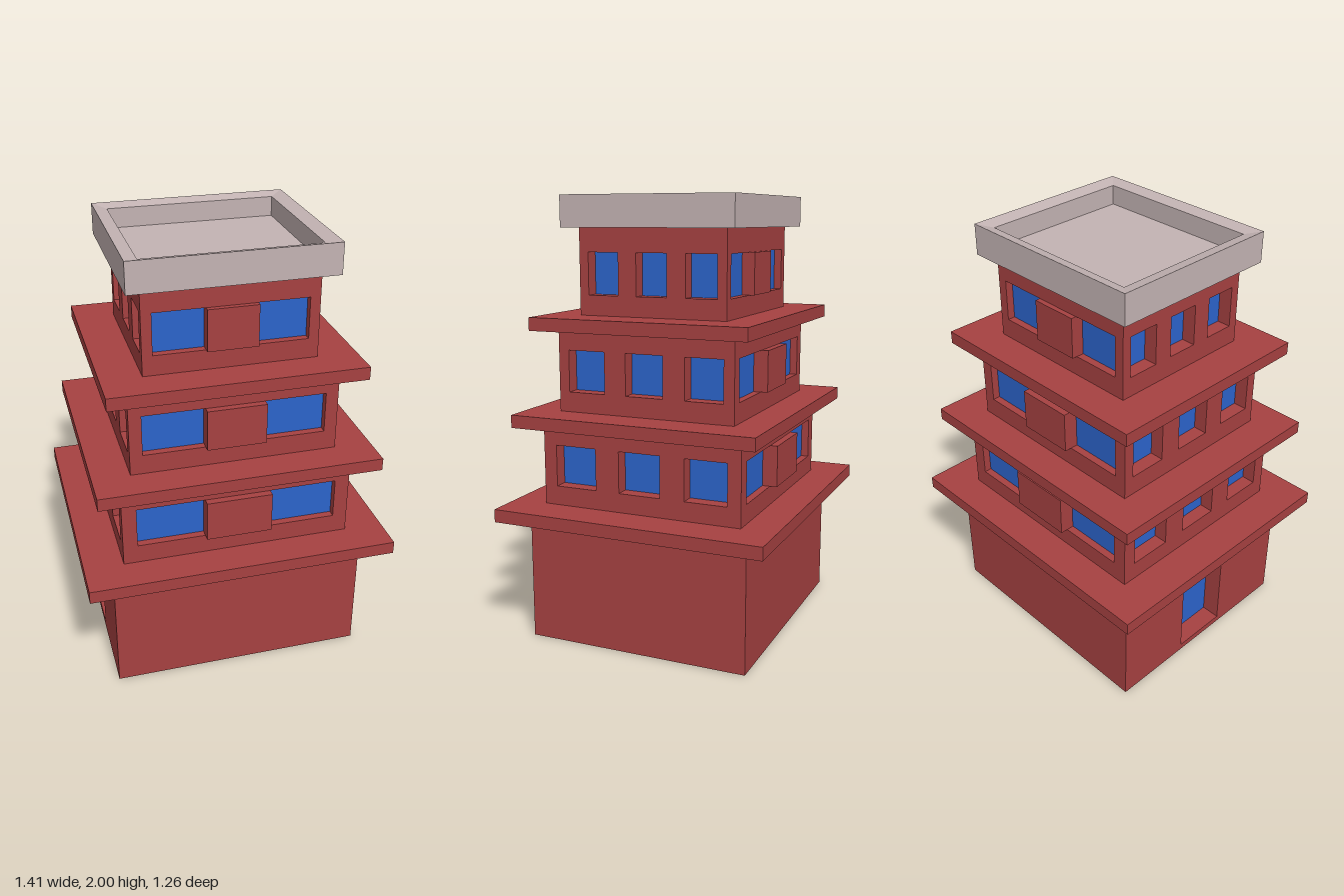
import * as THREE from 'three';

const red = new THREE.MeshStandardMaterial({ color: 0xa64141, side: THREE.DoubleSide });
red.name = 'red wall';
const blue = new THREE.MeshStandardMaterial({ color: 0x2c64cb, side: THREE.DoubleSide });
blue.name = 'blue glass';
const grey = new THREE.MeshStandardMaterial({ color: 0xc3b3b3, side: THREE.DoubleSide });
grey.name = 'pale roof';

function add(parent, name, geometry, material) {
  const mesh = new THREE.Mesh(geometry, material);
  mesh.name = name;
  parent.add(mesh);
  return mesh;
}

// Flat-sided surface through a list of four-cornered rings
function loft(rings) {
  const p = [];
  for (let r = 0; r < rings.length - 1; r++) {
    for (let i = 0; i < 4; i++) {
      const j = (i + 1) % 4, a = rings[r], b = rings[r + 1];
      p.push(...a[i], ...a[j], ...b[j], ...a[i], ...b[j], ...b[i]);
    }
  }
  const g = new THREE.BufferGeometry();
  g.setAttribute('position', new THREE.Float32BufferAttribute(p, 3));
  g.computeVertexNormals();
  return g;
}

const level = (hx, hz, y) => [[hx, y, hz], [hx, y, -hz], [-hx, y, -hz], [-hx, y, hz]];
const frame = (o, z) => [[o.x0, o.y0, z], [o.x1, o.y0, z], [o.x1, o.y1, z], [o.x0, o.y1, z]];

// One wall with recessed openings, turned to face its side
function wall(parent, name, half, dist, y0, y1, angle, openings, depth) {
  const side = new THREE.Group();
  side.name = name;
  side.rotation.y = angle;
  parent.add(side);
  const shape = new THREE.Shape([[-half, y0], [half, y0], [half, y1], [-half, y1]].map(c => new THREE.Vector2(...c)));
  for (const o of openings) {
    shape.holes.push(new THREE.Path(frame(o, 0).reverse().map(c => new THREE.Vector2(c[0], c[1]))));
    add(side, 'reveal', loft([frame(o, dist), frame(o, dist - depth)]), red);
    add(side, 'pane', new THREE.PlaneGeometry(o.x1 - o.x0, o.y1 - o.y0), blue)
      .position.set((o.x0 + o.x1) / 2, (o.y0 + o.y1) / 2, dist - depth);
  }
  add(side, 'wallFace', new THREE.ShapeGeometry(shape), red).position.z = dist;
  return side;
}

// hx, hz: wall half sizes; f: front window inner and outer x;
// s: half width of the middle side window, then inner and outer z of the others
const storeys = [
  { hx: 0.524, hz: 0.472, y0: 0.626, y1: 0.99, w0: 0.713, w1: 0.902, f: [0.15, 0.458], s: [0.099, 0.213, 0.41], out: 0.034 },
  { hx: 0.467, hz: 0.417, y0: 1.048, y1: 1.416, w0: 1.138, w1: 1.326, f: [0.133, 0.41], s: [0.089, 0.192, 0.368], out: 0.032 },
  { hx: 0.386, hz: 0.349, y0: 1.475, y1: 1.86, w0: 1.565, w1: 1.753, f: [0.112, 0.34], s: [0.073, 0.16, 0.306], out: 0.024 },
];
const eaves = [[0.703, 0.631], [0.636, 0.57], [0.567, 0.508]];
const base = { hx: 0.581, hz: 0.518, y0: 0, y1: 0.567 };

export function createModel() {
  const model = new THREE.Group();
  model.name = 'tower';

  // Hollow ground floor with a recessed door on one side
  const ground = new THREE.Group();
  ground.name = 'groundFloor';
  model.add(ground);
  const door = { x0: -0.135, x1: 0.135, y0: 0.03, y1: 0.49 };
  for (let i = 0; i < 4; i++) {
    const across = i % 2 === 0;
    wall(ground, i === 3 ? 'doorWall' : 'plainWall', across ? base.hx : base.hz, across ? base.hz : base.hx,
      base.y0, base.y1, i * Math.PI / 2, i === 3 ? [door] : [], 0.09);
  }

  // Three shrinking storeys, each standing on an eave
  storeys.forEach((s, n) => {
    const below = n ? storeys[n - 1] : base;
    const [ex, ez] = eaves[n];
    add(model, 'eave', loft([
      level(below.hx, below.hz, below.y1), level(ex, ez, below.y1),
      level(ex, ez, s.y0), level(s.hx, s.hz, s.y0)]), red);

    const storey = new THREE.Group();
    storey.name = 'storey';
    model.add(storey);
    const opening = (x0, x1) => ({ x0, x1, y0: s.w0, y1: s.w1 });
    const [f0, f1] = s.f, [m, s0, s1] = s.s;
    for (let i = 0; i < 4; i++) {
      const angle = i * Math.PI / 2;
      if (i % 2) {
        wall(storey, 'sideWall', s.hz, s.hx, s.y0, s.y1, angle,
          [opening(-s1, -s0), opening(-m, m), opening(s0, s1)], 0.065);
      } else {
        const recess = 0.035;
        const face = wall(storey, 'windowWall', s.hx, s.hz, s.y0, s.y1, angle,
          [opening(-f1, -f0), opening(f0, f1)], recess);
        // Raised panel between the two windows
        add(face, 'raisedPanel', new THREE.BoxGeometry(2 * f0, s.w1 - s.w0, s.out + recess), red)
          .position.set(0, (s.w0 + s.w1) / 2, s.hz + (s.out - recess) / 2);
      }
    }
  });

  // Roof tray with an overhanging parapet
  const top = storeys[2];
  add(model, 'parapet', loft([
    level(top.hx, top.hz, 1.86), level(0.452, 0.406, 1.86), level(0.452, 0.406, 2),
    level(0.39, 0.35, 1.985), level(0.39, 0.35, 1.895)]), grey);
  const floor = add(model, 'roofFloor', new THREE.PlaneGeometry(0.78, 0.7), grey);
  floor.rotation.x = -Math.PI / 2;
  floor.position.y = 1.895;

  return model;
}
